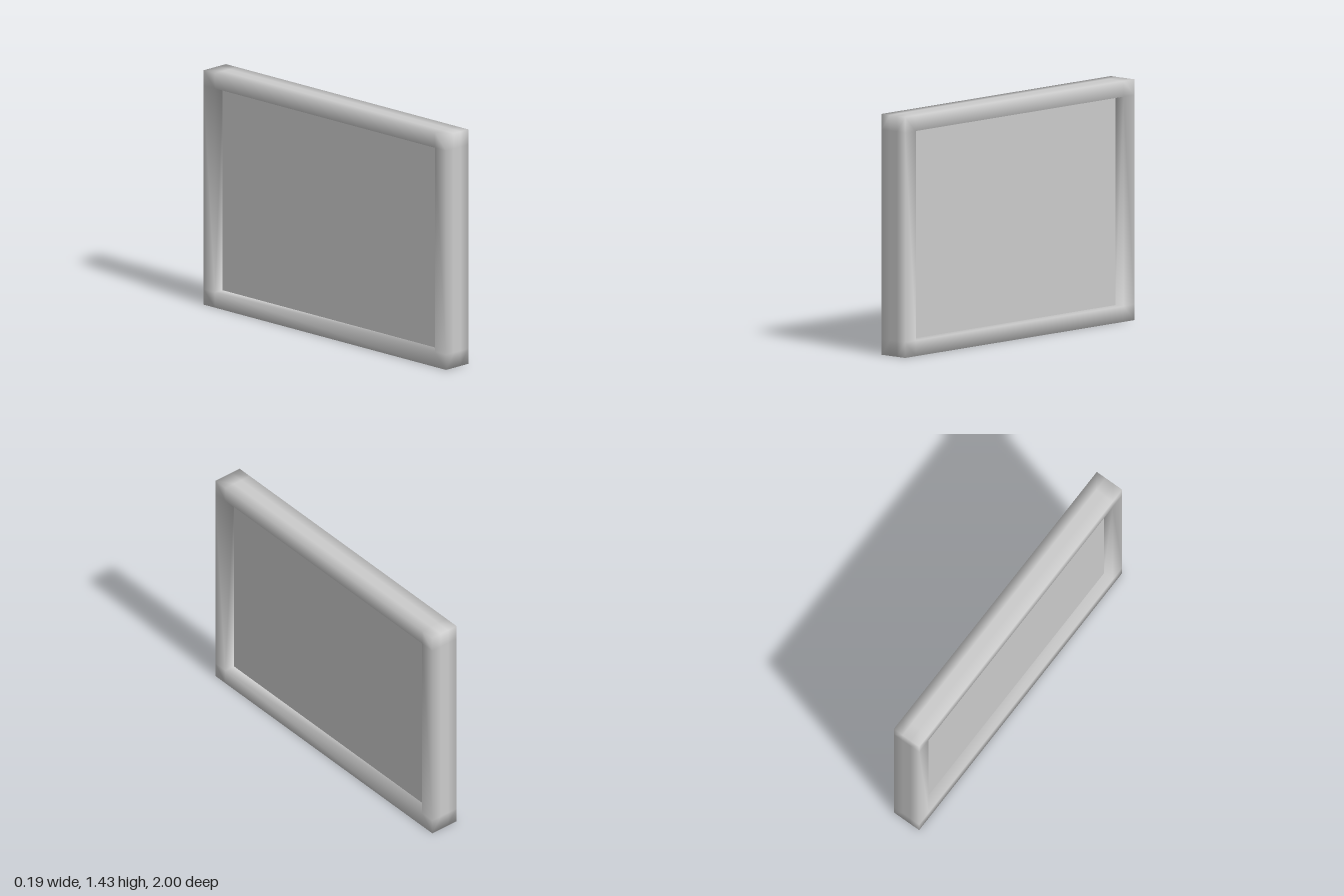
import * as THREE from 'three';
import { mergeVertices } from 'three/addons/utils/BufferGeometryUtils.js';

const H = 1.43, BAR = 0.093, HALF = 0.093, PANEL = 0.028;

// Grid lines of the slab on each axis: three cells per axis
const grid = [
  [-HALF, -PANEL, PANEL, HALF],
  [0, BAR, H - BAR, H],
  [-1, -1 + BAR, 1 - BAR, 1],
];

// Every cell is solid except the recess on either side of the panel
function solid(c) {
  if (c.some((v) => v < 0 || v > 2)) return false;
  return !(c[0] !== 1 && c[1] === 1 && c[2] === 1);
}

// Skin of the frame: a quad wherever a solid cell meets an empty one
function frameGeometry() {
  const pos = [];
  for (let n = 0; n < 27; n++) {
    const cell = [n % 3, Math.floor(n / 3) % 3, Math.floor(n / 9)];
    if (!solid(cell) || n === 13) continue; // the middle cell is the panel
    for (let axis = 0; axis < 3; axis++) {
      for (const side of [0, 1]) {
        const next = [...cell];
        next[axis] += side ? 1 : -1;
        if (solid(next)) continue;
        const u = (axis + 1) % 3, v = (axis + 2) % 3;
        const corner = (a, b) => {
          const i = [...cell];
          i[axis] += side;
          i[u] += a;
          i[v] += b;
          return i.map((k, d) => grid[d][k]);
        };
        const q = [corner(0, 0), corner(1, 0), corner(1, 1), corner(0, 1)];
        if (!side) q.reverse();
        for (const k of [0, 1, 2, 0, 2, 3]) pos.push(...q[k]);
      }
    }
  }
  const geo = new THREE.BufferGeometry();
  geo.setAttribute('position', new THREE.Float32BufferAttribute(pos, 3));
  const merged = mergeVertices(geo);
  merged.computeVertexNormals(); // soft shading across the bars
  return merged;
}

export function createModel() {
  const group = new THREE.Group();
  group.name = 'framedPanel';
  const material = new THREE.MeshStandardMaterial({ color: 0xcccccc });

  const frame = new THREE.Mesh(frameGeometry(), material);
  frame.name = 'frame';

  // Flat panel set back between the bars
  const panel = new THREE.Mesh(
    new THREE.BoxGeometry(2 * PANEL, H - 2 * BAR, 2 - 2 * BAR), material);
  panel.name = 'panel';
  panel.position.y = H / 2;

  group.add(frame, panel);
  return group;
}
